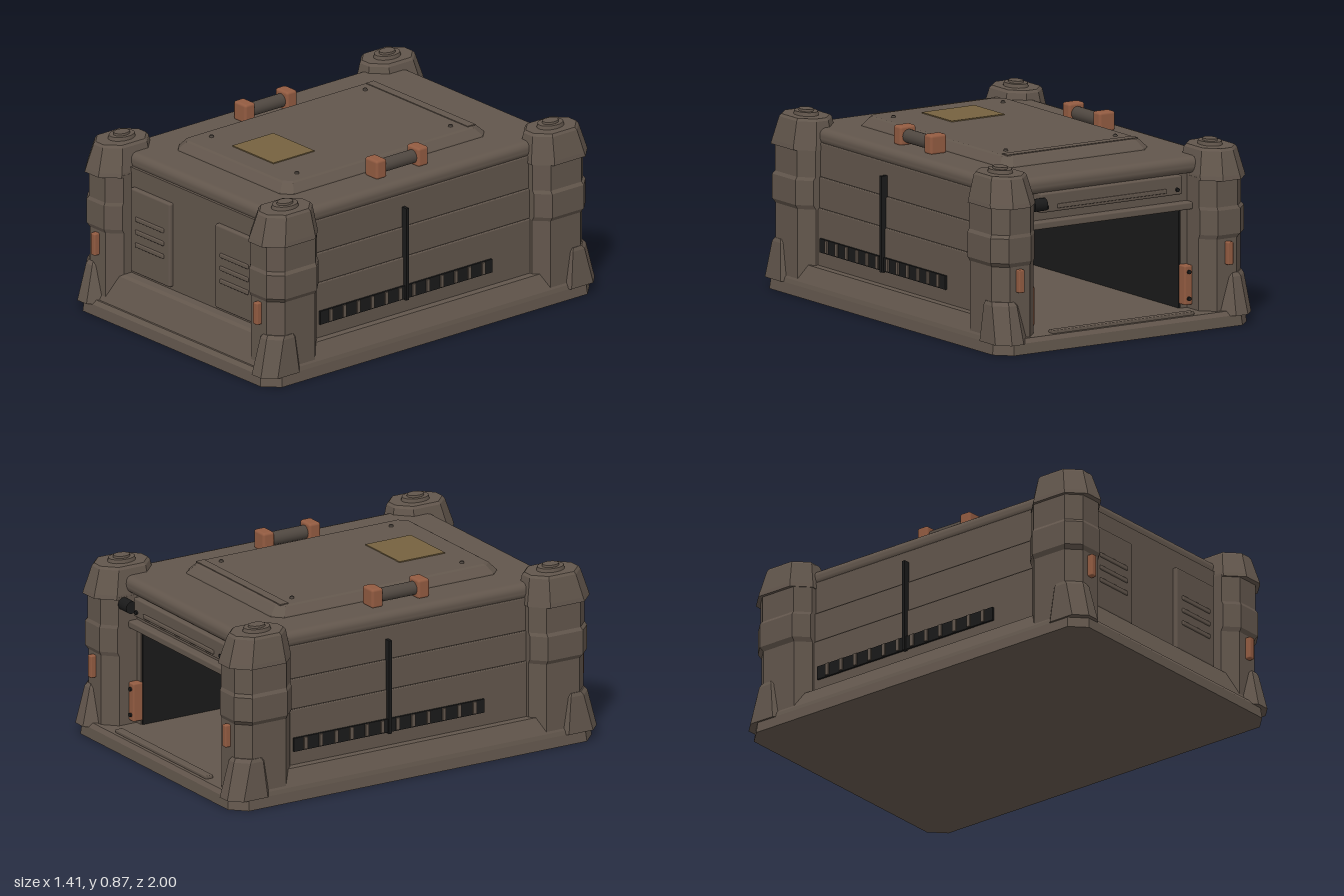
import * as THREE from 'three';
import { RoundedBoxGeometry } from 'three/addons/geometries/RoundedBoxGeometry.js';

const paint = (name, color) => Object.assign(new THREE.MeshStandardMaterial({ color }), { name });

// Stack of chamfered rectangles: [y, x0, x1, z0, z1, chamfer], flat shaded
function loft(sections) {
  const rings = sections.map(([y, x0, x1, z0, z1, c]) => [
    [x1, y, z0 + c], [x1, y, z1 - c], [x1 - c, y, z1], [x0 + c, y, z1],
    [x0, y, z1 - c], [x0, y, z0 + c], [x0 + c, y, z0], [x1 - c, y, z0],
  ]);
  const pos = [];
  const tri = (...pts) => pts.forEach((p) => pos.push(...p));
  for (let i = 0; i < rings.length - 1; i++) {
    for (let j = 0; j < 8; j++) {
      const k = (j + 1) % 8;
      const [a, b, c, d] = [rings[i][j], rings[i][k], rings[i + 1][k], rings[i + 1][j]];
      tri(a, d, b);
      tri(b, d, c);
    }
  }
  const bottom = rings[0], top = rings[rings.length - 1];
  for (let j = 1; j < 7; j++) {
    tri(bottom[0], bottom[j], bottom[j + 1]);
    tri(top[0], top[j + 1], top[j]);
  }
  const geo = new THREE.BufferGeometry();
  geo.setAttribute('position', new THREE.Float32BufferAttribute(pos, 3));
  geo.computeVertexNormals();
  return geo;
}

// Mirror loft sections into the quadrant given by the signs
const mirror = (sections, sx, sz) => sections.map(([y, x0, x1, z0, z1, c]) => [
  y, sx > 0 ? x0 : -x1, sx > 0 ? x1 : -x0, sz > 0 ? z0 : -z1, sz > 0 ? z1 : -z0, c,
]);

export function createModel() {
  const hull = paint('hull brown', 0x62564c);
  const copper = paint('copper', 0x925b41);
  const gold = paint('dull gold', 0x76623f);
  const grip = paint('grip grey', 0x4f4740);
  const dark = paint('dark interior', 0x1a1a1a);
  const model = new THREE.Group();
  model.name = 'crate';

  const add = (parent, name, geo, mat) => {
    const mesh = new THREE.Mesh(geo, mat);
    mesh.name = name;
    parent.add(mesh);
    return mesh;
  };
  // Box from its limits, with an optional rounded edge
  const box = (parent, name, mat, x0, x1, y0, y1, z0, z1, r = 0) => {
    const size = [x1 - x0, y1 - y0, z1 - z0];
    const geo = r ? new RoundedBoxGeometry(...size, 2, r) : new THREE.BoxGeometry(...size);
    geo.translate((x0 + x1) / 2, (y0 + y1) / 2, (z0 + z1) / 2);
    return add(parent, name, geo, mat);
  };
  const group = (name, parent = model) => {
    const g = new THREE.Group();
    g.name = name;
    parent.add(g);
    return g;
  };

  // Base
  add(model, 'base', loft([
    [0, -0.7, 0.7, -0.985, 0.985, 0.07],
    [0.05, -0.695, 0.695, -0.98, 0.98, 0.07],
    [0.07, -0.69, 0.69, -0.965, 0.965, 0.07],
  ]), hull);

  // Front wall with skirt and two slotted panels
  box(model, 'frontWall', hull, -0.58, 0.58, 0.07, 0.72, 0.78, 0.84);
  add(model, 'frontSkirt', loft([
    [0.07, -0.56, 0.56, 0.8, 0.955, 0.002],
    [0.195, -0.56, 0.56, 0.8, 0.9, 0.002],
    [0.205, -0.56, 0.56, 0.8, 0.885, 0.002],
  ]), hull);
  for (const s of [-1, 1]) {
    const panel = group('frontPanel');
    const cx = s * 0.3;
    box(panel, 'panelPlate', hull, cx - 0.14, cx + 0.14, 0.22, 0.63, 0.83, 0.862, 0.01);
    for (const y of [0.362, 0.425, 0.488]) {
      box(panel, 'panelSlat', hull, cx - 0.1, cx + 0.1, y - 0.011, y + 0.011, 0.855, 0.869, 0.005);
    }
  }

  // Side walls: lapped boards, skirt, vent strip and upright bar; the far side is turned round
  for (const turn of [0, Math.PI]) {
    const side = group('sideWall');
    side.rotation.y = turn;
    box(side, 'wallCore', hull, 0.42, 0.59, 0.07, 0.72, -0.79, 0.79);
    [[0.07, 0.41, 0.612], [0.41, 0.555, 0.606], [0.555, 0.715, 0.6]].forEach(([y0, y1, x]) =>
      box(side, 'wallBoard', hull, 0.55, x, y0, y1, -0.75, 0.75, 0.005));
    add(side, 'sideSkirt', loft([
      [0.07, 0.58, 0.69, -0.83, 0.83, 0.002],
      [0.145, 0.58, 0.65, -0.8, 0.8, 0.002],
    ]), hull);
    box(side, 'ventStrip', dark, 0.59, 0.622, 0.21, 0.275, -0.41, 0.62);
    for (let i = 0; i < 12; i++) {
      const z = -0.355 + i * 0.0832;
      box(side, 'ventFin', hull, 0.6, 0.629, 0.215, 0.273, z - 0.009, z + 0.009);
    }
    box(side, 'uprightBar', dark, 0.59, 0.632, 0.205, 0.655, 0.097, 0.113);
    // Dark lining of the hollow
    box(side, 'sideLining', dark, 0.412, 0.42, 0.07, 0.56, -0.785, 0.785);
  }

  // Hollow interior: ceiling and far lining
  box(model, 'upperBody', hull, -0.46, 0.46, 0.57, 0.73, -0.79, 0.79);
  box(model, 'ceilingLining', dark, -0.42, 0.42, 0.56, 0.57, -0.785, 0.785);
  box(model, 'endLining', dark, -0.42, 0.42, 0.07, 0.56, 0.772, 0.78);

  // Rear doorway
  const door = group('doorway');
  box(door, 'lintel', hull, -0.46, 0.46, 0.535, 0.57, -0.835, -0.77, 0.008);
  box(door, 'shutterHousing', hull, -0.39, 0.39, 0.615, 0.705, -0.85, -0.78, 0.008);
  box(door, 'shutterLip', hull, -0.3, 0.3, 0.63, 0.65, -0.858, -0.84, 0.005);
  box(door, 'threshold', hull, -0.39, 0.39, 0.068, 0.085, -0.95, -0.91, 0.005);
  const roller = add(door, 'rollerEnd', new THREE.CylinderGeometry(0.03, 0.03, 0.07, 16), dark);
  roller.rotation.z = Math.PI / 2;
  roller.position.set(0.415, 0.66, -0.865);
  for (const s of [-1, 1]) {
    const latch = group('doorLatch', door);
    const cx = s * 0.435;
    box(latch, 'latchPlate', copper, cx - 0.022, cx + 0.022, 0.09, 0.275, -0.835, -0.78, 0.008);
    for (const [y, x, mat] of [[0.12, cx, dark], [0.245, cx, dark], [0.64, s * 0.36, dark]]) {
      const bolt = add(latch, 'bolt', new THREE.CylinderGeometry(0.01, 0.01, 0.012, 10), mat);
      bolt.rotation.x = Math.PI / 2;
      bolt.position.set(x, y, y > 0.5 ? -0.852 : -0.837);
    }
  }

  // Roof slab and raised hatch
  box(model, 'roof', hull, -0.6, 0.6, 0.7, 0.78, -0.84, 0.83, 0.035);
  add(model, 'roofHatch', loft([
    [0.77, -0.41, 0.41, -0.585, 0.645, 0.045],
    [0.785, -0.405, 0.405, -0.58, 0.64, 0.045],
    [0.82, -0.375, 0.375, -0.545, 0.61, 0.035],
    [0.826, -0.365, 0.365, -0.535, 0.6, 0.035],
  ]), hull);
  box(model, 'hatchStrip', hull, -0.36, 0.36, 0.824, 0.83, -0.53, -0.485);
  box(model, 'goldPlate', gold, -0.148, 0.142, 0.824, 0.831, 0.25, 0.495);
  for (const x of [-0.302, 0.302]) for (const z of [-0.43, 0.49]) {
    const bolt = add(model, 'hatchBolt', new THREE.CylinderGeometry(0.008, 0.012, 0.012, 10), grip);
    bolt.position.set(x, 0.829, z);
  }

  // Roof handles
  for (const s of [-1, 1]) {
    const handle = group('handle');
    const cx = s * 0.465;
    const bar = add(handle, 'handleBar', new THREE.CylinderGeometry(0.032, 0.032, 0.3, 20), grip);
    bar.rotation.x = Math.PI / 2;
    bar.position.set(cx, 0.82, 0.03);
    for (const z of [-0.095, 0.155]) {
      box(handle, 'handleBlock', copper, cx - 0.044, cx + 0.044, 0.775, 0.868, z - 0.031, z + 0.031, 0.013);
    }
  }

  // Corner posts: shaft with a bulging band, splayed foot, tapered cap and oval knob
  const shaft = [
    [0.07, 0.455, 0.685, 0.645, 0.945, 0.06],
    [0.405, 0.455, 0.685, 0.645, 0.945, 0.06],
    [0.425, 0.455, 0.698, 0.645, 0.955, 0.06],
    [0.54, 0.455, 0.698, 0.645, 0.955, 0.06],
    [0.555, 0.455, 0.688, 0.645, 0.948, 0.06],
    [0.69, 0.455, 0.688, 0.645, 0.948, 0.06],
  ];
  const foot = [
    [0.05, 0.53, 0.705, 0.76, 1.0, 0.055],
    [0.225, 0.54, 0.694, 0.778, 0.957, 0.055],
    [0.242, 0.548, 0.688, 0.785, 0.945, 0.055],
  ];
  const cap = [
    [0.68, 0.455, 0.703, 0.64, 0.975, 0.075],
    [0.7, 0.457, 0.7, 0.642, 0.97, 0.075],
    [0.81, 0.482, 0.677, 0.66, 0.935, 0.065],
    [0.822, 0.492, 0.668, 0.67, 0.925, 0.06],
  ];
  for (const sx of [-1, 1]) for (const sz of [-1, 1]) {
    const post = group('cornerPost');
    add(post, 'postShaft', loft(mirror(shaft, sx, sz)), hull);
    add(post, 'postFoot', loft(mirror(foot, sx, sz)), hull);
    add(post, 'postCap', loft(mirror(cap, sx, sz)), hull);
    for (const [r, y] of [[1, 0.828], [0.62, 0.838]]) {
      const knob = add(post, 'capKnob', new THREE.CylinderGeometry(r * 0.92, r, 0.022, 24), hull);
      knob.scale.set(0.053, 1, 0.071);
      knob.position.set(sx * 0.578, y, sz * 0.795);
    }
    const [za, zb] = [sz * 0.93, sz * 0.972].sort((a, b) => a - b);
    box(post, 'markerLight', copper, sx * 0.575 - 0.016, sx * 0.575 + 0.016, 0.285, 0.392, za, zb, 0.006);
  }
  return model;
}
